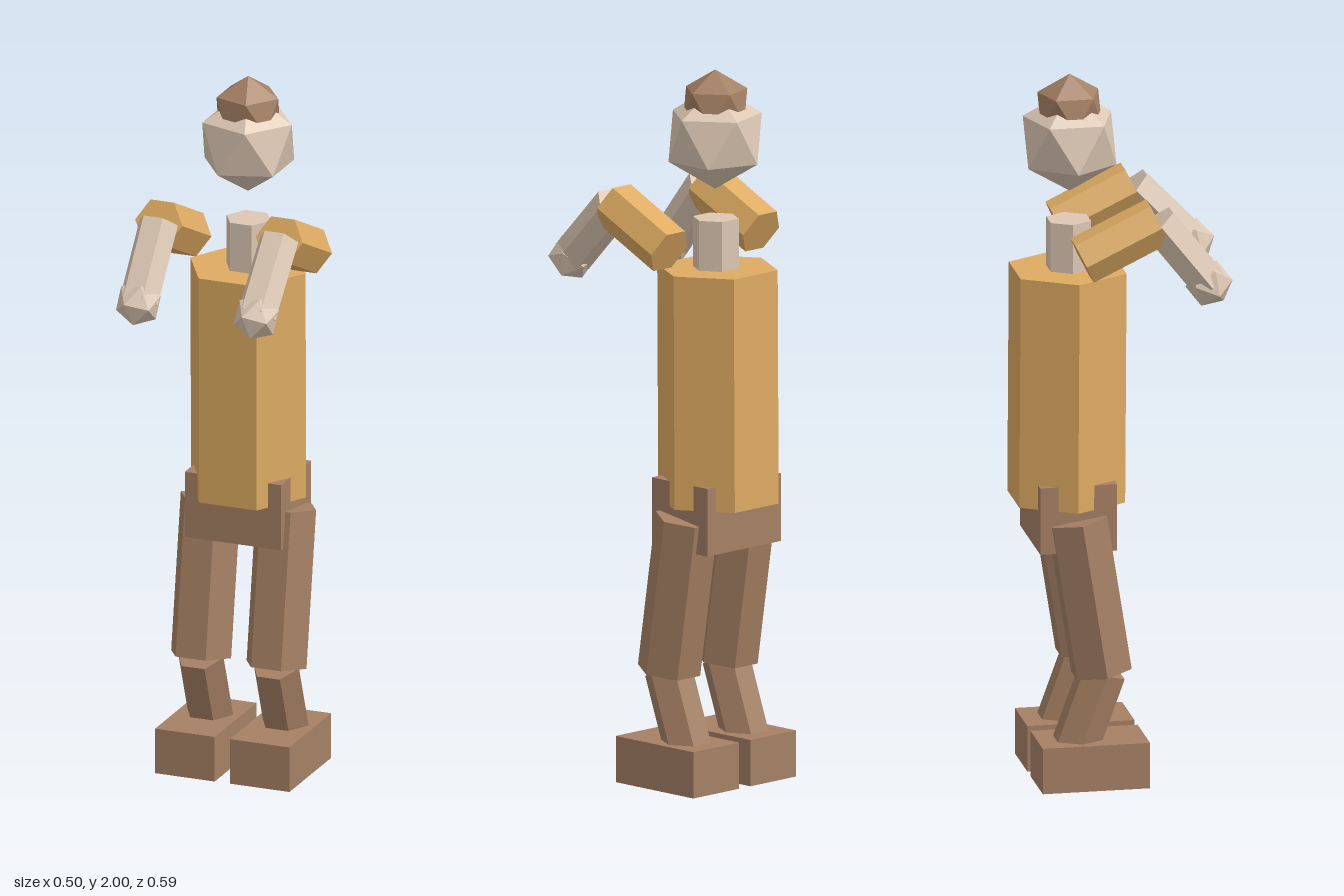
import * as THREE from 'three';

const UP = new THREE.Vector3(0, 1, 0);

function material(name, color) {
  const m = new THREE.MeshStandardMaterial({ color });
  m.name = name;
  return m;
}

// Splits faces so each one has its own flat normal
function flat(geometry) {
  const g = geometry.index ? geometry.toNonIndexed() : geometry;
  g.computeVertexNormals();
  return g;
}

export function createModel() {
  const group = new THREE.Group();
  const cloth = material('ochre cloth', 0xdeab62);
  const skin = material('pale skin', 0xdcc7b3);
  const brown = material('brown leather', 0xa58064);

  function add(name, geometry, mat) {
    const mesh = new THREE.Mesh(flat(geometry), mat);
    mesh.name = name;
    group.add(mesh);
    return mesh;
  }

  // Six-sided prism from a to b, with corners towards the sides
  function prism(name, a, b, radius, mat) {
    const from = new THREE.Vector3(...a);
    const to = new THREE.Vector3(...b);
    const dir = to.clone().sub(from);
    const geo = new THREE.CylinderGeometry(radius, radius, dir.length(), 6).rotateY(Math.PI / 2);
    const mesh = add(name, geo, mat);
    mesh.position.copy(from).add(to).multiplyScalar(0.5);
    mesh.quaternion.setFromUnitVectors(UP, dir.normalize());
  }

  // Icosahedron standing on one corner
  function gem(name, position, radius, mat, twist = 0) {
    const geo = new THREE.IcosahedronGeometry(radius, 0);
    geo.rotateZ(-Math.atan2(2, 1 + Math.sqrt(5))).rotateY(twist);
    const mesh = add(name, geo, mat);
    mesh.position.set(...position);
    return mesh;
  }

  function box(name, size, position, mat) {
    add(name, new THREE.BoxGeometry(...size), mat).position.set(...position);
  }

  // Head, hair and neck
  gem('head', [0, 1.81, -0.14], 0.145, skin);
  gem('hair', [0, 1.9, -0.14], 0.1, brown);
  prism('neck', [0, 1.4, -0.143], [0, 1.585, -0.143], 0.065, skin);

  // Trunk
  prism('torso', [-0.003, 0.79, -0.15], [-0.003, 1.445, -0.146], 0.171, cloth);
  box('pelvis', [0.286, 0.19, 0.215], [-0.002, 0.765, -0.143], brown);

  for (const side of [1, -1]) {
    const label = side > 0 ? 'left' : 'right';

    // Arm, bent at the elbow; the left hand reaches a little further
    const x = side * 0.179;
    const elbow = [x, 1.617, 0.07];
    const hand = side > 0 ? [x, 1.445, 0.235] : [x, 1.432, 0.215];
    prism(`${label}UpperArm`, [x, 1.517, -0.14], elbow, 0.07, cloth);
    prism(`${label}Forearm`, elbow, hand, 0.057, skin);
    const fist = gem(`${label}Hand`, hand, 0.066, skin, Math.PI / 2 + 0.3);
    const reach = new THREE.Vector3(...hand).sub(new THREE.Vector3(...elbow)).normalize();
    fist.quaternion.setFromUnitVectors(UP, reach);

    // Leg, slightly crouched
    const lx = side * 0.112;
    prism(`${label}Thigh`, [lx, 0.76, -0.142], [lx, 0.32, -0.073], 0.089, brown);
    prism(`${label}Shin`, [lx, 0.32, -0.07], [lx, 0.08, -0.157], 0.068, brown);
    box(`${label}Shoe`, [0.177, 0.13, 0.3], [side * 0.111, 0.065, -0.104], brown);
  }

  return group;
}
